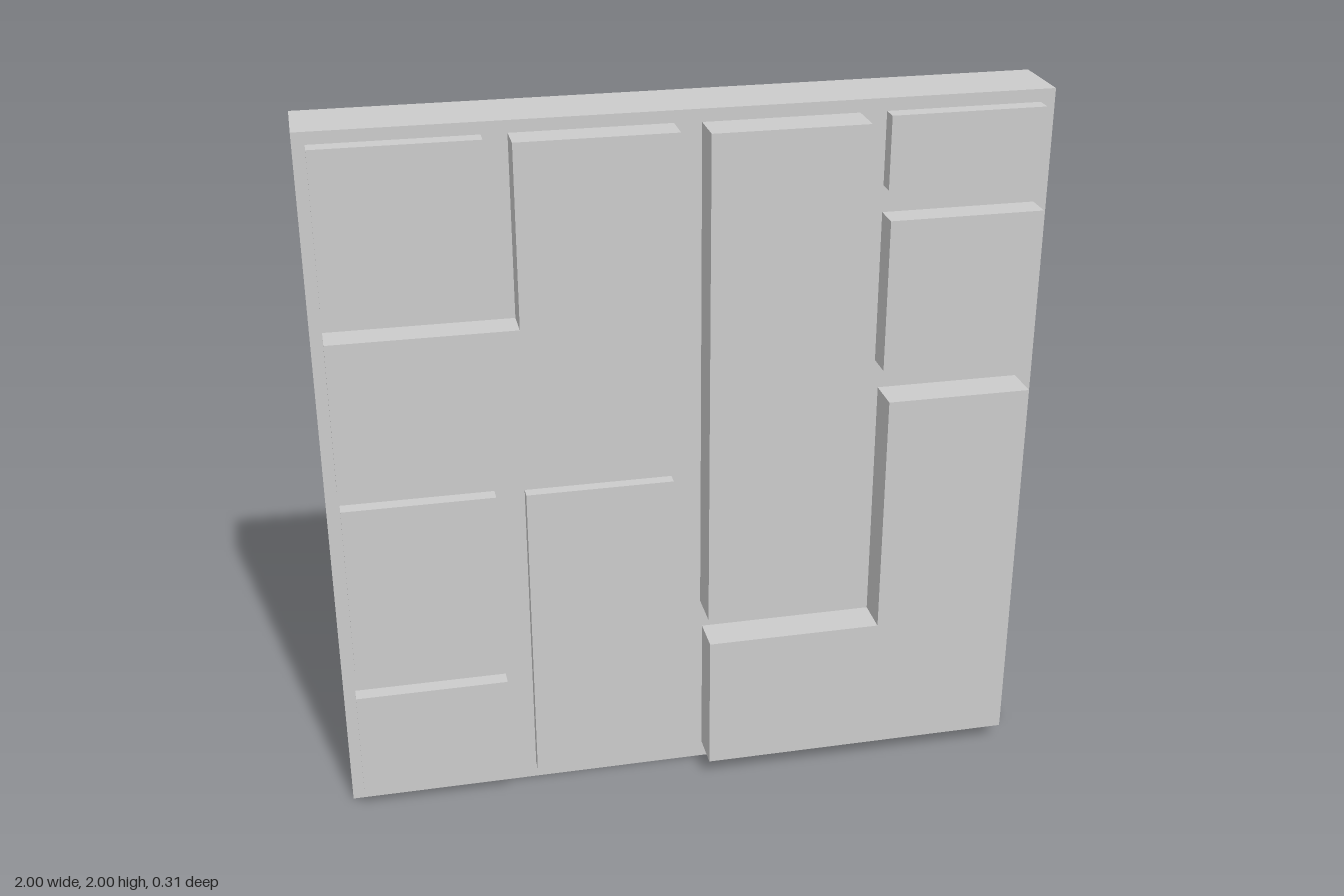
import * as THREE from 'three';

const BACK = -0.155, FACE = 0.045;

export function createModel() {
  const model = new THREE.Group();
  const material = new THREE.MeshStandardMaterial({ color: 0xcccccc, flatShading: true });

  // Extrudes an outline in x, y from z0 to z1
  function addSlab(name, points, z0, z1) {
    const shape = new THREE.Shape(points.map(([x, y]) => new THREE.Vector2(x, y)));
    const geometry = new THREE.ExtrudeGeometry(shape, { depth: z1 - z0, bevelEnabled: false });
    const mesh = new THREE.Mesh(geometry, material);
    mesh.name = name;
    mesh.position.z = z0;
    model.add(mesh);
  }
  const rect = (x0, y0, x1, y1) => [[x0, y0], [x1, y0], [x1, y1], [x0, y1]];

  // Backing panel
  addSlab('backPanel', rect(-1, 0, 1, 2), BACK, FACE);

  // Rectangular raised blocks: name, x0, y0, x1, y1, front z
  const blocks = [
    ['upperRightSquareBlock', -0.967, 1.535, -0.533, 1.967, 0.092],
    ['middleRightBlock', -0.963, 0.445, -0.543, 0.963, 0.086],
    ['lowerRightBlock', -0.967, 0.037, -0.537, 0.37, 0.09],
    ['lowerCentreBlock', -0.46, 0.05, -0.047, 0.957, 0.08],
    ['tallCentreBlock', 0.037, 0.542, 0.46, 1.965, 0.155],
    ['upperLeftSmallBlock', 0.533, 1.763, 0.96, 1.965, 0.092],
    ['upperLeftSquareBlock', 0.533, 1.257, 0.963, 1.688, 0.123],
  ];
  for (const [name, x0, y0, x1, y1, z] of blocks) addSlab(name, rect(x0, y0, x1, y1), FACE, z);

  // L-shaped raised blocks
  addSlab('upperAngleBlock', [
    [-0.967, 1.038], [-0.037, 1.038], [-0.037, 1.967],
    [-0.465, 1.967], [-0.465, 1.467], [-0.967, 1.467],
  ], FACE, 0.134);
  addSlab('lowerAngleBlock', [
    [0.043, 0.05], [0.953, 0.05], [0.953, 1.173],
    [0.545, 1.173], [0.545, 0.457], [0.043, 0.457],
  ], FACE, 0.152);

  return model;
}
